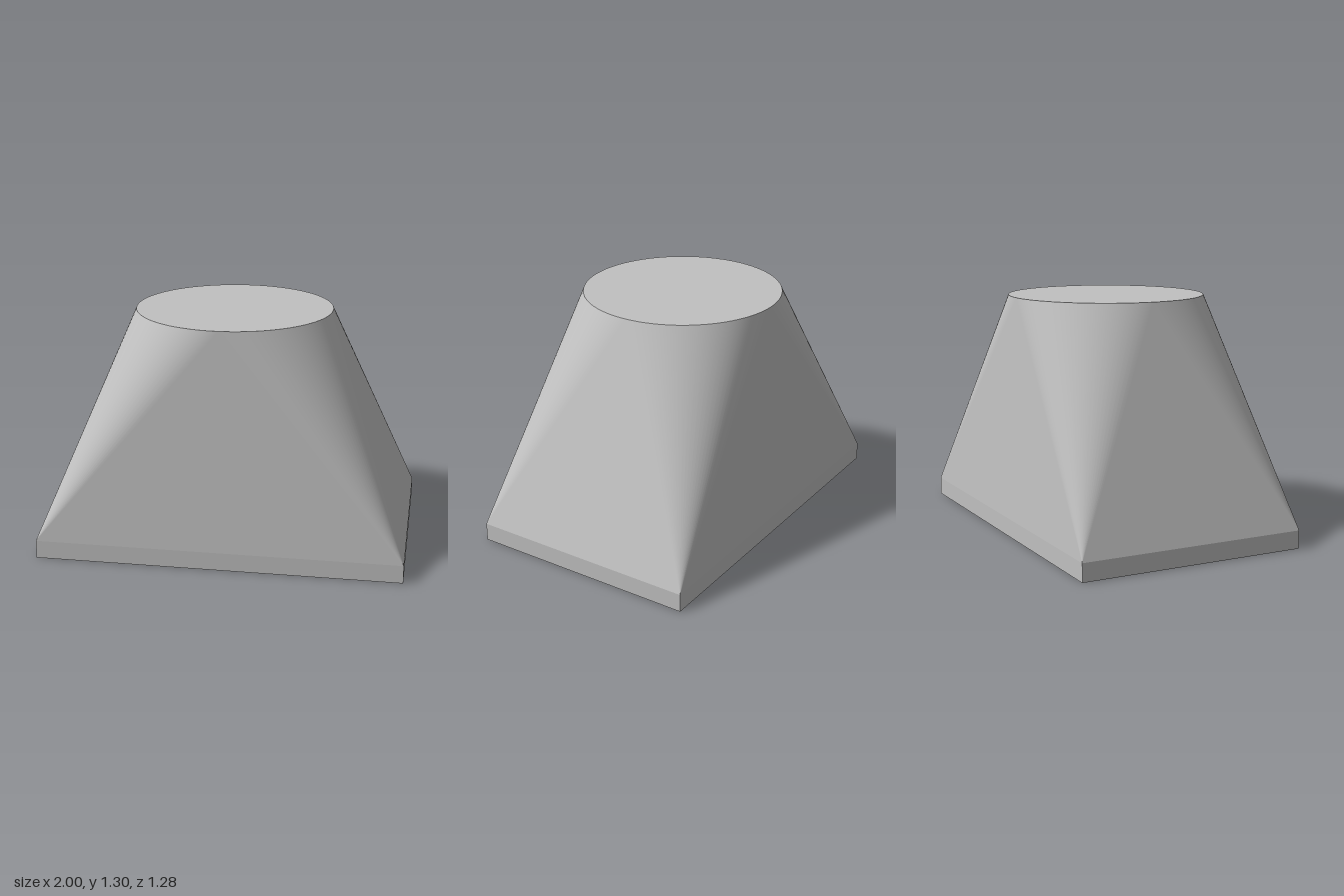
import * as THREE from 'three';

const W = 1, D = 0.64, BASE_H = 0.1, TOP_Y = 1.3, R = 0.543, STEPS = 24;

// Rectangle-to-circle transition: a flat triangle per side, a cone section per corner
function transitionGeometry() {
  const pos = [], norm = [];
  const corners = [[1, 1], [-1, 1], [-1, -1], [1, -1]]
    .map(([x, z]) => new THREE.Vector3(x * W, BASE_H, z * D));
  const rim = a => new THREE.Vector3(R * Math.cos(a), TOP_Y, R * Math.sin(a));
  // normal of the plane through a corner and the rim's tangent line
  const normalAt = (a, corner) => {
    const tangent = new THREE.Vector3(-Math.sin(a), 0, Math.cos(a));
    const n = tangent.cross(corner.clone().sub(rim(a))).normalize();
    return n.dot(rim(a).setY(0)) < 0 ? n.negate() : n;
  };
  const tri = (points, normals) => {
    points.forEach(p => pos.push(p.x, p.y, p.z));
    normals.forEach(n => norm.push(n.x, n.y, n.z));
  };
  corners.forEach((c, q) => {
    const start = q * Math.PI / 2, step = Math.PI / 2 / STEPS;
    for (let i = 0; i < STEPS; i++) {
      const a = start + i * step, b = a + step;
      tri([c, rim(a), rim(b)], [normalAt((a + b) / 2, c), normalAt(a, c), normalAt(b, c)]);
    }
    const end = start + Math.PI / 2, n = normalAt(end, c);
    tri([rim(end), corners[(q + 1) % 4], c], [n, n, n]);
  });
  const g = new THREE.BufferGeometry();
  g.setAttribute('position', new THREE.Float32BufferAttribute(pos, 3));
  g.setAttribute('normal', new THREE.Float32BufferAttribute(norm, 3));
  return g;
}

export function createModel() {
  const group = new THREE.Group();
  group.name = 'rectangleToRoundTransition';
  const grey = new THREE.MeshStandardMaterial({ color: 0xc0c0c0 });
  grey.name = 'light grey';
  const add = (name, geometry) => {
    const mesh = new THREE.Mesh(geometry, grey);
    mesh.name = name;
    group.add(mesh);
  };

  // Base slab, without its covered top face
  const base = new THREE.BoxGeometry(2 * W, BASE_H, 2 * D).translate(0, BASE_H / 2, 0);
  const index = Array.from(base.index.array);
  index.splice(12, 6);
  base.setIndex(index);
  base.clearGroups();
  add('base', base);

  add('transitionBody', transitionGeometry());

  // Round top
  add('topCap', new THREE.CircleGeometry(R, STEPS * 4).rotateX(-Math.PI / 2).translate(0, TOP_Y, 0));

  return group;
}
